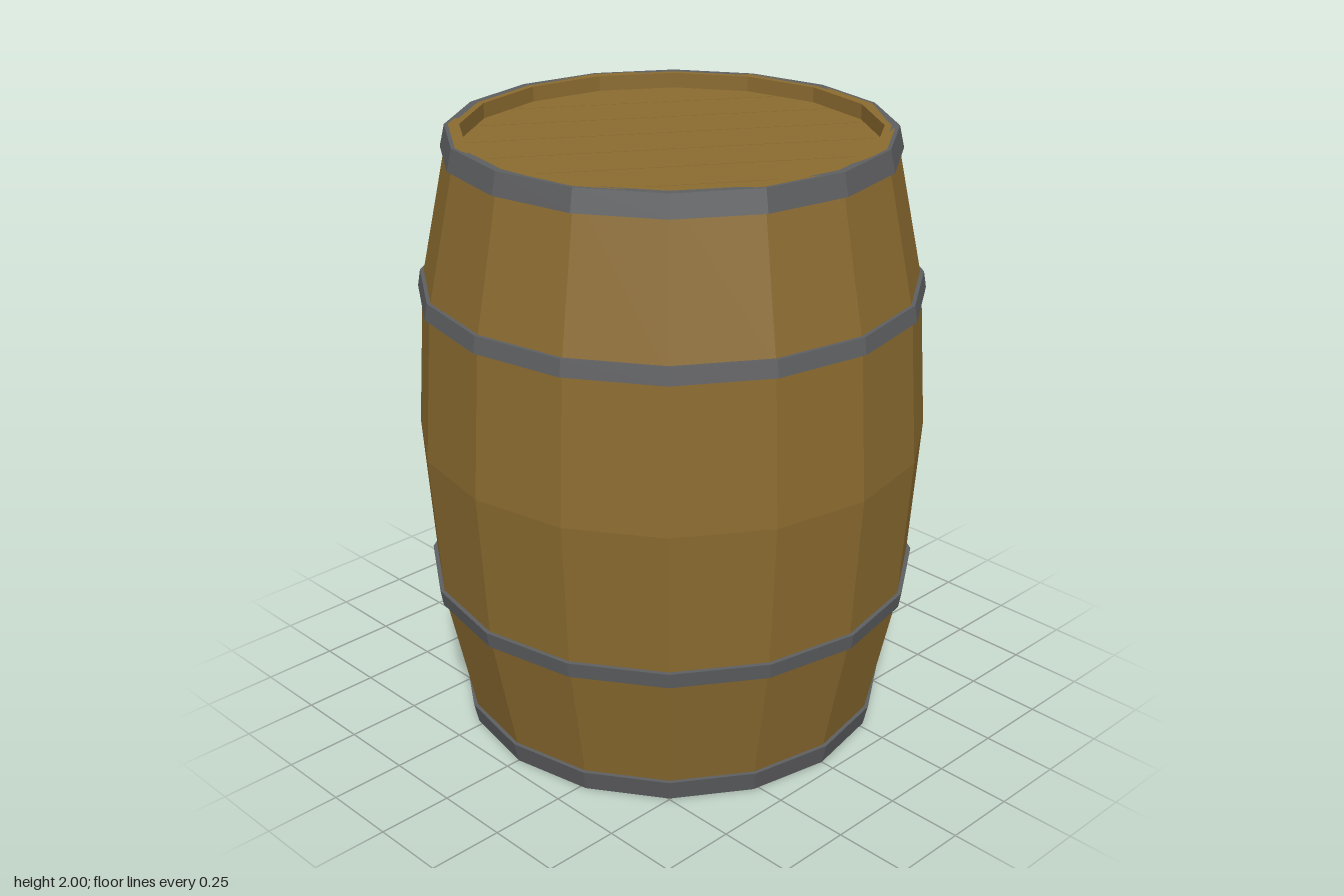
import * as THREE from 'three';

const SIDES = 16;
const HEAD_R = 0.655;
const wood = new THREE.MeshStandardMaterial({ color: 0x8b6b30, flatShading: true });
const iron = new THREE.MeshStandardMaterial({ color: 0x5e5f61, flatShading: true });

function lathe(name, profile, material) {
  const points = profile.map(([r, y]) => new THREE.Vector2(r, y));
  const mesh = new THREE.Mesh(new THREE.LatheGeometry(points, SIDES), material);
  mesh.name = name;
  return mesh;
}

// Right-hand corners of the head polygon, planks running along x
const corners = [];
for (let i = 0; i < SIDES / 2; i++) {
  const a = -Math.PI / 2 + (i + 0.5) * (2 * Math.PI / SIDES);
  corners.push([HEAD_R * Math.cos(a), HEAD_R * Math.sin(a)]);
}
function halfWidth(v) {
  for (let i = 1; i < corners.length; i++) {
    const [x0, y0] = corners[i - 1], [x1, y1] = corners[i];
    if (v <= y1) return x0 + (x1 - x0) * (v - y0) / (y1 - y0);
  }
  return corners[corners.length - 1][0];
}

// Round lid made of parallel planks with hairline gaps over a backing disc
function head(name, thickness) {
  const group = new THREE.Group();
  group.name = name;
  const count = 7, gap = 0.004, reach = corners[corners.length - 1][1];
  for (let i = 0; i < count; i++) {
    const v0 = -reach + (2 * reach * i) / count + (i > 0 ? gap / 2 : 0);
    const v1 = -reach + (2 * reach * (i + 1)) / count - (i < count - 1 ? gap / 2 : 0);
    const inner = corners.filter(([, v]) => v > v0 + 1e-4 && v < v1 - 1e-4);
    const right = [[halfWidth(v0), v0], ...inner, [halfWidth(v1), v1]];
    const left = right.map(([x, v]) => [-x, v]).reverse();
    const shape = new THREE.Shape([...right, ...left].map(([x, v]) => new THREE.Vector2(x, v)));
    const geometry = new THREE.ExtrudeGeometry(shape, { depth: thickness, bevelEnabled: false });
    geometry.rotateX(-Math.PI / 2);
    const plank = new THREE.Mesh(geometry, wood);
    plank.name = 'headPlank';
    group.add(plank);
  }
  const backing = new THREE.Mesh(new THREE.CylinderGeometry(0.64, 0.64, thickness - 0.02, SIDES), wood);
  backing.name = 'headBacking';
  backing.position.y = thickness / 2;
  backing.rotation.y = Math.PI / SIDES;
  group.add(backing);
  group.rotation.y = 2.5 * (2 * Math.PI / SIDES);
  return group;
}

// Iron hoop: closed ring between two heights
function hoop(name, y0, r0, y1, r1, depth) {
  return lathe(name, [
    [r0 - depth, y0], [r0, y0], [r1, y1], [r1 - depth, y1], [r0 - depth, y0],
  ], iron);
}

export function createModel() {
  const barrel = new THREE.Group();
  barrel.name = 'barrel';

  // Bulging stave wall with a lip at both ends
  barrel.add(lathe('staves', [
    [HEAD_R, 0.1], [HEAD_R, 0], [0.69, 0], [0.795, 0.5], [0.828, 1],
    [0.795, 1.5], [0.69, 2], [HEAD_R, 2], [HEAD_R, 1.9],
  ], wood));

  // Recessed heads
  const bottom = head('bottomHead', 0.06);
  bottom.position.y = 0.05;
  const top = head('topHead', 0.06);
  top.position.y = 1.89;
  barrel.add(bottom, top);

  // Hoops around the ends and the shoulders
  barrel.add(
    hoop('bottomHoop', 0, 0.702, 0.07, 0.718, 0.025),
    hoop('lowerHoop', 0.475, 0.802, 0.528, 0.811, 0.025),
    hoop('upperHoop', 1.472, 0.811, 1.525, 0.802, 0.025),
    hoop('topHoop', 1.93, 0.718, 2, 0.702, 0.025),
  );
  return barrel;
}
